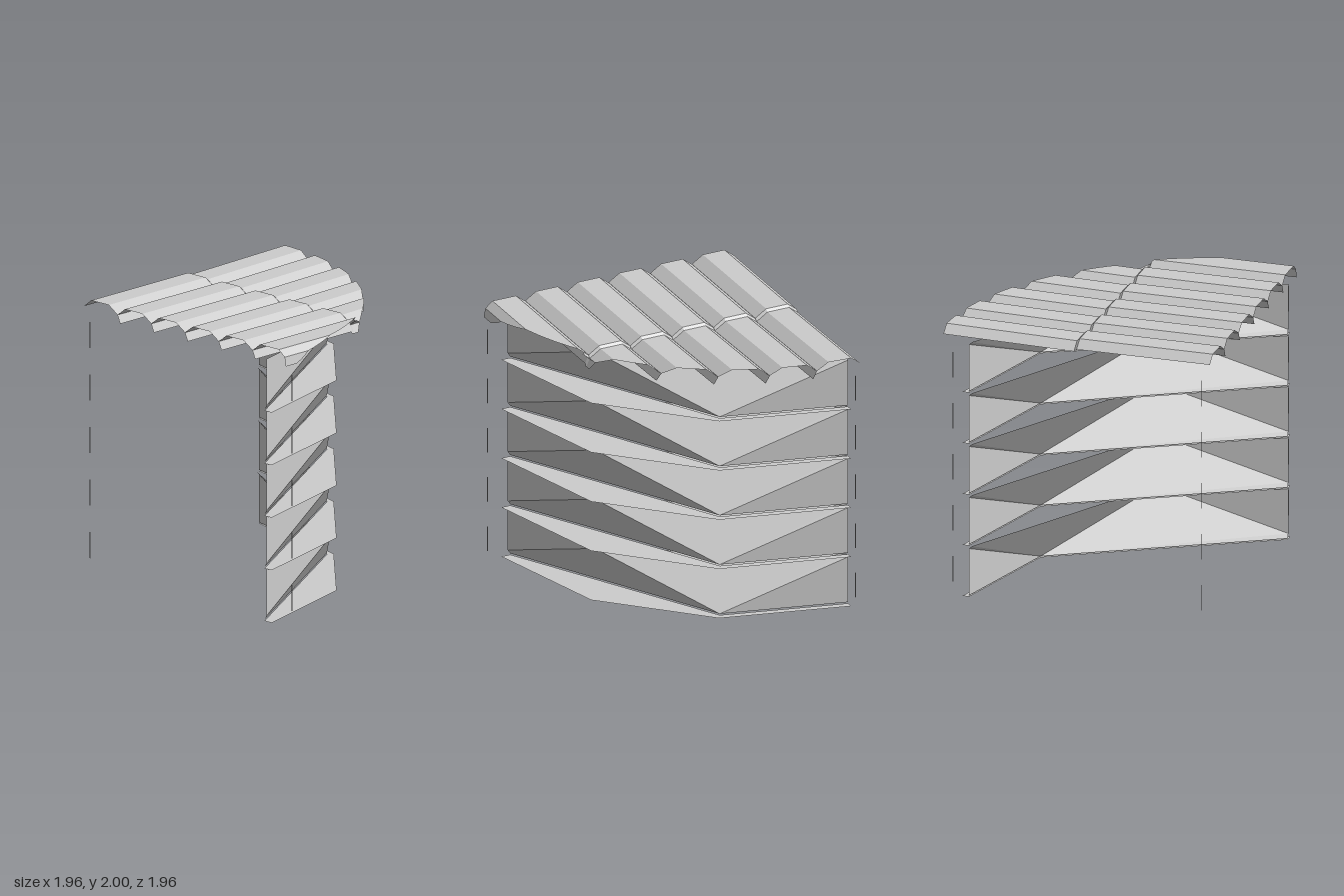
import * as THREE from 'three';

const C = -0.98;      // corner at the centre of the quarter circle (x and z)
const ROOF_R = 1.96;
const FLOOR_H = 0.382;

export function createModel() {
  const model = new THREE.Group();
  const grey = new THREE.MeshStandardMaterial({ color: 0xcccccc, side: THREE.DoubleSide, flatShading: true });
  grey.name = 'concrete grey';

  // Point on a circle about the corner
  const polar = (deg, r, y) => {
    const a = deg * Math.PI / 180;
    return [C + r * Math.cos(a), y, C + r * Math.sin(a)];
  };

  // Mesh from a list of flat polygons, each fanned into triangles
  const facets = (name, polys) => {
    const pos = [];
    for (const p of polys) {
      for (let i = 1; i < p.length - 1; i++) pos.push(...p[0], ...p[i], ...p[i + 1]);
    }
    const g = new THREE.BufferGeometry();
    g.setAttribute('position', new THREE.Float32BufferAttribute(pos, 3));
    g.computeVertexNormals();
    const m = new THREE.Mesh(g, grey);
    m.name = name;
    return m;
  };

  // Storeys: folded facade panels above a thin projecting ledge
  const R = 1.77, LEDGE_R = 1.82;
  for (let f = 0; f < 5; f++) {
    const y = f * FLOOR_H, lo = y + 0.01, hi = y + 0.38;
    const storey = new THREE.Group();
    storey.name = 'storey' + (f + 1);
    const b0 = polar(0, R, lo), b30 = polar(30, R, lo), b90 = polar(90, R - 0.02, lo);
    const t0 = polar(0, R - 0.02, hi), t60 = polar(60, R, hi), t90 = polar(90, R, hi);
    const m0 = polar(0, R, hi - 0.02), m90 = polar(90, R, lo + 0.03);
    storey.add(facets('foldedFacade', [
      [b0, m0, b30], [b30, m0, t0], [b30, t0, t60],
      [b30, t60, m90], [b30, m90, b90], [m90, t60, t90],
    ]));

    const o = [0, 30, 60, 90].map(d => polar(d, LEDGE_R, y));
    const i0 = polar(0, R, y), i30 = polar(30, R, y), i90 = polar(90, R - 0.02, y);
    storey.add(facets('ledge', [
      [i0, i30, o[1], o[0]], [i30, o[2], o[1]], [i30, i90, o[2]], [i90, o[3], o[2]],
    ]));

    // Slender rods at the corners
    for (const [x, z] of [[0.91, -0.978], [-0.92, -0.978], [-0.92, 0.978]]) {
      const rod = new THREE.Mesh(new THREE.BoxGeometry(0.004, 0.19, 0.004), grey);
      rod.name = 'cornerRod';
      rod.position.set(x, y + 0.195, z);
      storey.add(rod);
    }
    model.add(storey);
  }

  // Roof: six ribbed rows, cut by the quarter circle, each in two lengths
  const arcX = z => C + Math.sqrt(Math.max(0, ROOF_R ** 2 - (z - C) ** 2));
  const profile = [[0, 1.945], [0.07, 2.0], [0.24, 2.0], [0.325, 1.945], [0.327, 1.94], [0.352, 1.885]];
  const lastProfile = [[0, 1.945], [0.07, 2.0], [0.255, 2.0], [0.31, 1.955], [0.322, 1.89]];
  const STEPS = 5;
  const roof = new THREE.Group();
  roof.name = 'roof';
  for (let t = 0; t < 6; t++) {
    const z0 = C + t * 0.327;
    const prof = t === 5 ? lastProfile : profile;
    const rows = [];
    prof.forEach(([dz, y], i) => {
      if (i === prof.length - 1) return rows.push([z0 + dz, y]);
      const [dz2, y2] = prof[i + 1];
      for (let s = 0; s < STEPS; s++) {
        const k = s / STEPS;
        rows.push([z0 + dz + (dz2 - dz) * k, y + (y2 - y) * k]);
      }
    });
    const left = [], right = [], joint = [];
    const drop = x => 0.018 * (1 - x / 0.98);
    for (let i = 0; i < rows.length - 1; i++) {
      const [za, ya] = rows[i], [zb, yb] = rows[i + 1];
      const xa = arcX(za), xb = arcX(zb);
      const la = Math.min(0, xa), lb = Math.min(0, xb);
      left.push([[C, ya, za], [C, yb, zb], [lb, yb, zb], [la, ya, za]]);
      if (xa > 0) {
        const ra = xa, rb = Math.max(0, xb);
        right.push([[0, ya - drop(0), za], [0, yb - drop(0), zb], [rb, yb - drop(rb), zb], [ra, ya - drop(ra), za]]);
        // Step where the left length laps over the right one
        if (xb > 0.02 && xa > 0.02) {
          joint.push([[0, ya, za], [0, yb, zb], [0.02, yb - 0.018, zb], [0.02, ya - 0.018, za]]);
        }
      }
    }
    roof.add(facets('roofTileInner', left));
    if (right.length) roof.add(facets('roofTileOuter', right));
    if (joint.length) roof.add(facets('roofTileLap', joint));
  }
  model.add(roof);
  return model;
}
